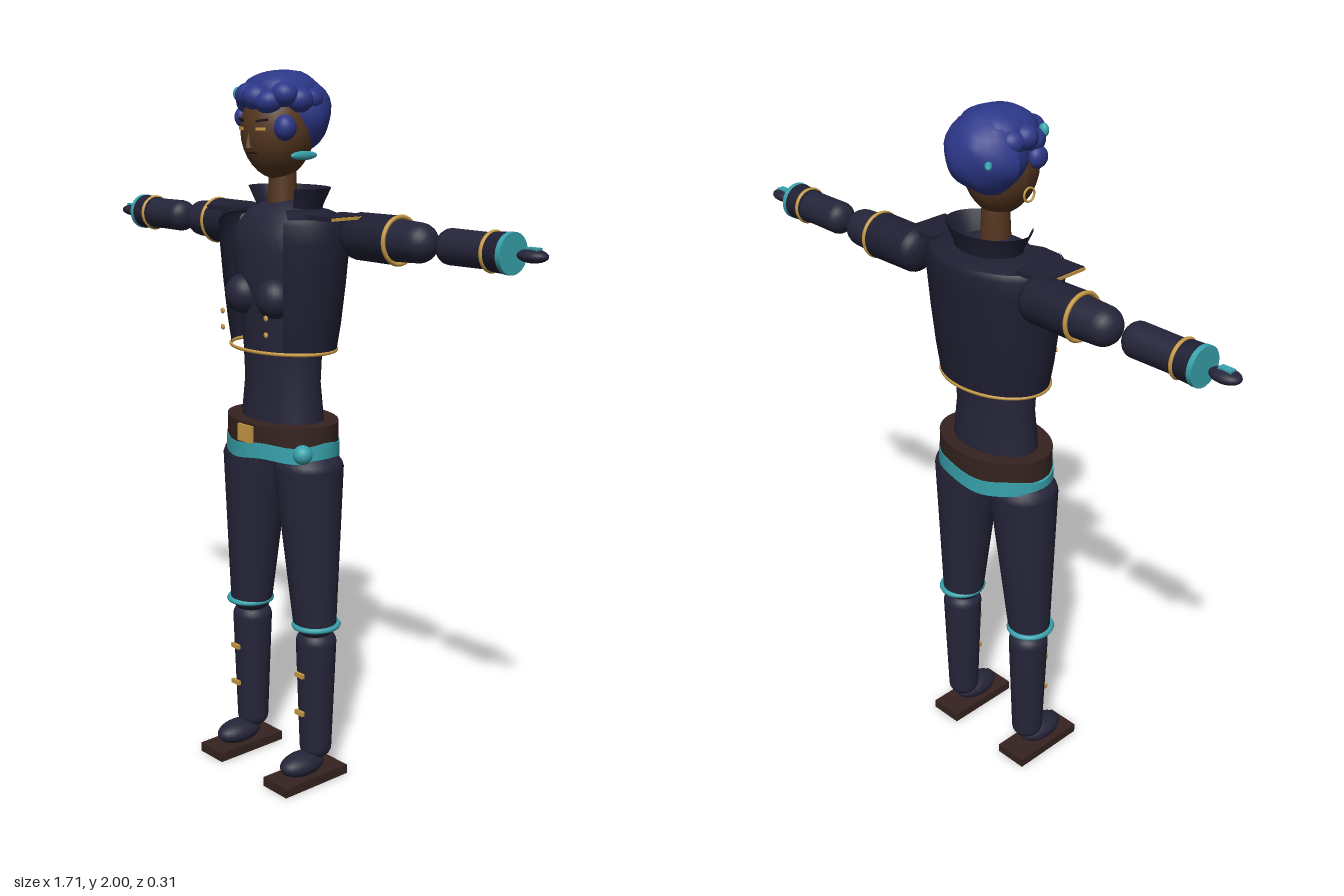
import * as THREE from 'three';

const mat = (name, color, side = THREE.FrontSide) => {
  const m = new THREE.MeshStandardMaterial({ color, side });
  m.name = name;
  return m;
};

export function createModel() {
  const root = new THREE.Group();
  root.name = 'figure';
  const navy = mat('navy cloth', 0x25253a);
  const jacketMat = mat('jacket cloth', 0x1f1f33, THREE.DoubleSide);
  const skin = mat('skin', 0x553620);
  const hairMat = mat('blue hair', 0x2c3788);
  const gold = mat('gold', 0xc79a45);
  const teal = mat('teal', 0x38a3ad);
  const leather = mat('brown leather', 0x35231f);
  const dark = mat('dark line', 0x1a1214);

  const add = (name, geo, m, x = 0, y = 0, z = 0, parent = root) => {
    const mesh = new THREE.Mesh(geo, m);
    mesh.name = name;
    mesh.position.set(x, y, z);
    parent.add(mesh);
    return mesh;
  };
  const box = (w, h, d) => new THREE.BoxGeometry(w, h, d);
  const ball = (rx, ry = rx, rz = rx) => new THREE.SphereGeometry(1, 24, 16).scale(rx, ry, rz);
  // Lathe through [radius, y] points, listed from bottom to top
  const lathe = (pts, start = 0, length = Math.PI * 2, seg = 40) =>
    new THREE.LatheGeometry(pts.map(p => new THREE.Vector2(...p)), seg, start, length);
  // Rounded limb from y = 0 to y = len, radius r0 at the start and r1 at the end
  const limb = (len, r0, r1, cap0, cap1) => {
    const pts = [];
    for (let i = 0; i <= 6; i++) {
      const a = (i / 6) * Math.PI / 2;
      pts.push([r0 * Math.sin(a), cap0 * (1 - Math.cos(a))]);
    }
    for (let i = 0; i <= 6; i++) {
      const a = (i / 6) * Math.PI / 2;
      pts.push([r1 * Math.cos(a), len - cap1 * (1 - Math.sin(a))]);
    }
    return lathe(pts, 0, Math.PI * 2, 28);
  };
  const ring = (r, tube) => new THREE.TorusGeometry(r, tube, 8, 48);

  // Torso
  add('torso', lathe([[0, 0.98], [0.14, 1.0], [0.138, 1.06], [0.127, 1.16], [0.132, 1.26], [0.15, 1.4],
    [0.165, 1.52], [0.155, 1.58], [0.11, 1.63], [0.045, 1.655], [0, 1.66]]).scale(1, 1, 0.68), navy);
  for (const s of [-1, 1]) add('chest', ball(0.055, 0.055, 0.05), navy, s * 0.065, 1.4, 0.085);

  // Open jacket, hem trim and collar
  add('jacket', lathe([[0.172, 1.25], [0.186, 1.33], [0.2, 1.44], [0.211, 1.55], [0.214, 1.6], [0.2, 1.615]],
    0.68, Math.PI * 2 - 1.36).scale(1, 1, 0.71), jacketMat, 0, 0, -0.004);
  add('jacketHem', ring(0.172, 0.005).rotateX(Math.PI / 2).scale(1, 1, 0.73), gold, 0, 1.254, -0.002);
  add('jacketYoke', lathe([[0.2, 1.613], [0.15, 1.63], [0.1, 1.635]], 0.75, Math.PI * 2 - 1.5)
    .scale(1, 1, 0.71), jacketMat, 0, 0, -0.004);
  add('collar', lathe([[0.1, 1.61], [0.108, 1.645], [0.132, 1.69]], 0.8, Math.PI * 2 - 1.6)
    .scale(1, 1, 0.72), jacketMat, 0, 0, -0.025);
  for (const s of [-1, 1]) {
    for (const y of [1.31, 1.355]) add('jacketButton', ball(0.008, 0.008, 0.004), gold, s * 0.092, y, 0.138);
    const pad = new THREE.Group();
    pad.name = 'shoulderPad';
    pad.position.set(s * 0.207, 1.622, -0.012);
    add('padTop', box(0.105, 0.012, 0.14), jacketMat, 0, 0, 0, pad);
    add('padTrim', box(0.004, 0.008, 0.14), gold, s * 0.054, 0, 0, pad);
    root.add(pad);
  }

  // Belt, buckle and sash
  const band = (r, h) => new THREE.CylinderGeometry(r, r, h, 48, 2);
  add('belt', band(0.182, 0.064).scale(1, 1, 0.73), leather, 0, 1.023, 0);
  add('beltBuckle', box(0.058, 0.048, 0.009), gold, 0, 1.024, 0.135);
  const sash = band(0.187, 0.044);
  const sp = sash.attributes.position;
  for (let i = 0; i < sp.count; i++) {
    const a = Math.atan2(sp.getX(i), sp.getZ(i));
    sp.setY(i, sp.getY(i) + 0.005 * Math.sin(a * 5) + 0.03 * sp.getX(i));
  }
  sash.scale(1, 1, 0.72).computeVertexNormals();
  add('sash', sash, teal, 0, 0.976, 0);
  add('sashKnot', ball(0.027), teal, 0.165, 0.983, 0.07);

  for (const s of [-1, 1]) {
    // Arm, pointing outwards along x
    const arm = new THREE.Group();
    arm.name = s > 0 ? 'leftArm' : 'rightArm';
    arm.position.set(0, 1.57, -0.074);
    arm.rotation.z = -s * Math.PI / 2;
    root.add(arm);
    const flat = (r, t) => ring(r, t).rotateX(Math.PI / 2);
    add('upperArm', limb(0.3, 0.06, 0.052, 0.06, 0.05), navy, 0, 0.195, 0, arm);
    add('sleeve', limb(0.19, 0.063, 0.064, 0.04, 0.012), jacketMat, 0, 0.19, 0, arm);
    add('sleeveTrim', flat(0.061, 0.006), gold, 0, 0.376, 0, arm);
    add('forearm', limb(0.2, 0.046, 0.045, 0.035, 0.02), navy, 0, 0.52, 0, arm);
    add('cuff', new THREE.CylinderGeometry(0.051, 0.048, 0.06, 28), jacketMat, 0, 0.712, 0, arm);
    add('cuffTrim', flat(0.047, 0.006), gold, 0, 0.692, 0, arm);
    add('cuffBand', new THREE.CylinderGeometry(0.052, 0.052, 0.014, 28), teal, 0, 0.747, 0, arm);
    add('hand', ball(0.017, 0.043, 0.029), navy, 0, 0.812, 0, arm);
    add('handPlate', box(0.007, 0.036, 0.02), teal, -s * 0.0165, 0.814, 0, arm);

    // Leg: the thigh leans outwards towards the knee
    const thigh = limb(0.56, 0.06, 0.094, 0.05, 0.06);
    const tp = thigh.attributes.position;
    for (let i = 0; i < tp.count; i++) {
      const t = tp.getY(i) / 0.56;
      const bulge = 1 + 0.12 * Math.sin(Math.PI * t);
      tp.setXYZ(i, tp.getX(i) * bulge + s * (0.143 - 0.035 * t), tp.getY(i), tp.getZ(i) * bulge);
    }
    thigh.computeVertexNormals();
    add('thigh', thigh, navy, 0, 0.43, 0);
    add('kneeBand', ring(0.06, 0.008).rotateX(Math.PI / 2).scale(1, 1, 1.06), teal, s * 0.146, 0.472, 0);
    add('shin', limb(0.4, 0.046, 0.058, 0.035, 0.04), navy, s * 0.142, 0.06, -0.004);
    for (const y of [0.215, 0.33]) add('shinBuckle', box(0.033, 0.013, 0.009), gold, s * 0.144, y, 0.06);
    add('foot', ball(0.045, 0.034, 0.075), navy, s * 0.144, 0.055, 0.05);
    add('sole', box(0.1, 0.027, 0.235), leather, s * 0.146, 0.0135, 0.038);
  }

  // Head with a narrowing jaw
  add('neck', new THREE.CylinderGeometry(0.036, 0.042, 0.13, 24), skin, 0, 1.69, 0);
  const head = ball(0.1, 0.128, 0.1);
  const hp = head.attributes.position;
  for (let i = 0; i < hp.count; i++) {
    const t = Math.max(0, -hp.getY(i) / 0.128);
    hp.setX(i, hp.getX(i) * (1 - 0.15 * t * t));
  }
  head.computeVertexNormals();
  add('head', head, skin, 0, 1.84, 0.018);
  for (const s of [-1, 1]) {
    add('eye', box(0.028, 0.008, 0.006), gold, s * 0.04, 1.846, 0.11).rotation.y = s * 0.4;
    add('eyebrow', box(0.034, 0.006, 0.006), dark, s * 0.042, 1.868, 0.108).rotation.set(0, s * 0.4, s * 0.12);
  }
  add('nose', new THREE.ConeGeometry(0.011, 0.04, 8), skin, 0, 1.817, 0.118);
  add('mouth', box(0.036, 0.005, 0.006), dark, 0, 1.783, 0.107);

  // Hair: an uneven cap with curls around the crown
  const tuft = (rx, ry, rz, seed) => {
    const g = ball(rx, ry, rz);
    const p = g.attributes.position;
    for (let i = 0; i < p.count; i++) {
      const x = p.getX(i), y = p.getY(i), z = p.getZ(i);
      const k = 1 + 0.035 * Math.sin(x * 55 + seed) * Math.cos(y * 50 + seed) + 0.025 * Math.sin(z * 60 + seed * 2);
      p.setXYZ(i, x * k, y * k, z * k);
    }
    g.computeVertexNormals();
    return g;
  };
  add('hairCap', tuft(0.113, 0.105, 0.105, 1), hairMat, 0, 1.885, -0.033);
  add('hairCrown', tuft(0.1, 0.06, 0.1, 2), hairMat, 0, 1.938, 0.005);
  for (let i = 0; i < 9; i++) {
    const a = -2 + i * 0.5;
    add('curl', tuft(0.04, 0.034, 0.038, i), hairMat,
      Math.sin(a) * 0.083, 1.925 + 0.01 * Math.sin(i * 2.3), 0.01 + Math.cos(a) * 0.082);
  }
  add('frontCurl', tuft(0.03, 0.034, 0.03, 3), hairMat, 0.092, 1.85, 0.07);
  add('sideCurl', tuft(0.024, 0.03, 0.03, 5), hairMat, -0.094, 1.875, 0.055);

  // Hair clips and earrings
  add('frontClip', ball(0.014, 0.018, 0.012), teal, -0.088, 1.935, 0.082);
  add('backClip', ball(0.026, 0.01, 0.01), teal, -0.082, 1.885, -0.105).rotation.y = -0.8;
  add('earFeather', ball(0.009, 0.012, 0.046), teal, 0.112, 1.778, 0.022);
  add('earHoop', ring(0.018, 0.003).rotateY(Math.PI / 2), gold, -0.1, 1.785, 0.02);
  return root;
}
